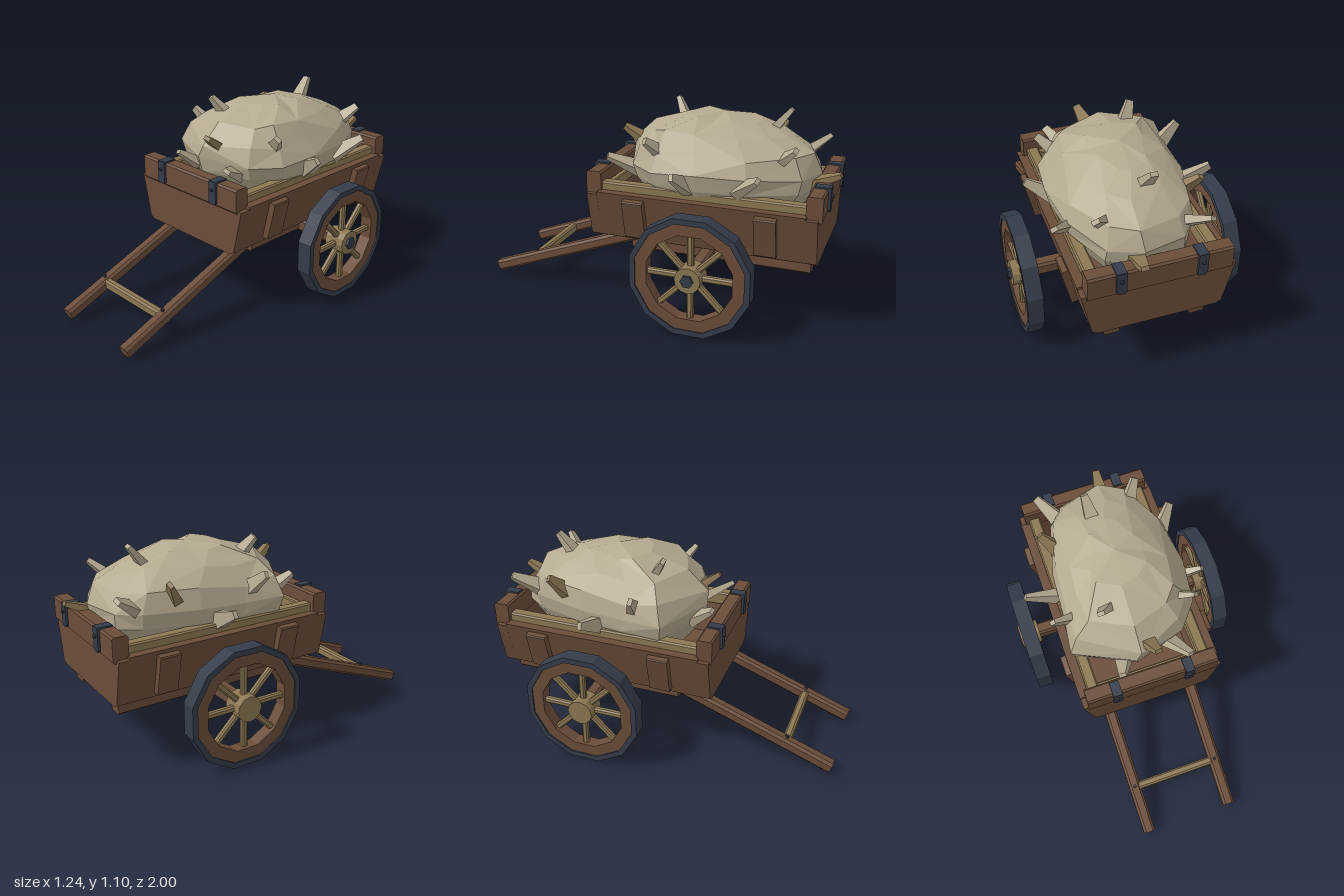
import * as THREE from 'three';

const mat = (name, color, extra = {}) => {
  const m = new THREE.MeshStandardMaterial({ color, flatShading: true, ...extra });
  m.name = name;
  return m;
};

export function createModel() {
  const wood = mat('brown wood', 0x6b4d3a);
  const paleWood = mat('pale wood', 0x8c7853);
  const iron = mat('dark iron', 0x343c4a);
  const hide = mat('pale hide', 0xb5aa91);

  const model = new THREE.Group();
  const cart = new THREE.Group();
  cart.name = 'cart';
  cart.position.x = -0.007;
  model.add(cart);

  const add = (name, geo, material, pos = [0, 0, 0], parent = cart) => {
    const mesh = new THREE.Mesh(geo, material);
    mesh.name = name;
    mesh.position.set(...pos);
    parent.add(mesh);
    return mesh;
  };
  const shapeOf = pts => new THREE.Shape(pts.map(p => new THREE.Vector2(...p)));
  const prism = (shape, depth) => new THREE.ExtrudeGeometry(shape, { depth, bevelEnabled: false });

  // Beam along z with chamfered long edges, centred on its origin
  const beam = (w, h, len, c = 0.01) => {
    const a = w / 2, b = h / 2;
    return prism(shapeOf([[-a + c, -b], [a - c, -b], [a, -b + c], [a, b - c],
      [a - c, b], [-a + c, b], [-a, b - c], [-a, -b + c]]), len).translate(0, 0, -len / 2);
  };
  const crossBeam = (...args) => beam(...args).rotateY(Math.PI / 2);

  // Tub: end boards, leaning side walls, floor
  const endShape = shapeOf([[-0.315, 0.375], [0.315, 0.375], [0.345, 0.39],
    [0.4, 0.64], [-0.4, 0.64], [-0.345, 0.39]]);
  add('frontBoard', prism(endShape, 0.06), wood, [0, 0, 0.26]);
  add('backBoard', prism(endShape, 0.06), wood, [0, 0, -0.93]);
  add('floor', new THREE.BoxGeometry(0.63, 0.045, 1.13), wood, [0, 0.3975, -0.305]);
  const wall = [[0.315, 0.375], [0.345, 0.39], [0.403, 0.655], [0.345, 0.655], [0.295, 0.42]];
  for (const s of [1, -1]) {
    const pts = wall.map(([x, y]) => [s * x, y]);
    add('sideWall', prism(shapeOf(pts), 1.13), wood, [0, 0, -0.87]);
    add('sideRail', beam(0.065, 0.08, 1.11, 0.008), paleWood, [s * 0.32, 0.66, -0.305]);
    // Slanted battens on the walls
    for (const z of [0.045, -0.67]) {
      const batten = add('batten', beam(0.04, 0.225, 0.115, 0.006), wood, [s * 0.392, 0.523, z]);
      batten.rotation.z = -s * 0.225;
    }
    // Under-frame beams
    add('underBeam', beam(0.085, 0.075, 1.0, 0.008), wood, [s * 0.23, 0.338, -0.39]);
  }
  add('frontRail', crossBeam(0.035, 0.06, 0.6, 0.006), paleWood, [0, 0.655, 0.23]);

  // Heavy end caps with iron straps
  for (const [z, s] of [[0.288, 1], [-0.905, -1]]) {
    add('endCap', crossBeam(0.085, 0.135, 0.746, 0.01), wood, [0, 0.692, z]);
    for (const x of [-0.207, 0.207]) {
      const strap = new THREE.Group();
      strap.name = 'strap';
      strap.position.set(x, 0, z);
      strap.scale.z = 1;
      cart.add(strap);
      const plate = shapeOf([[-0.026, 0.648], [-0.018, 0.638], [0.018, 0.638], [0.026, 0.648],
        [0.026, 0.767], [-0.026, 0.767]]);
      add('strapPlate', prism(plate, 0.018), iron, [0, 0, s > 0 ? 0.038 : -0.056], strap);
      add('strapTop', new THREE.BoxGeometry(0.052, 0.016, 0.08), iron, [0, 0.76, s * 0.012], strap);
      add('strapBolt', new THREE.CylinderGeometry(0.01, 0.01, 0.012, 6).rotateX(Math.PI / 2),
        iron, [0, 0.72, s * 0.06], strap);
    }
  }

  // Sloping pull handles and their crossbar
  const tilt = 0.358;
  for (const s of [1, -1]) {
    const handle = add('handle', beam(0.067, 0.066, 0.96, 0.014), wood, [s * 0.25, 0.213, 0.54]);
    handle.rotation.x = tilt;
    add('handlePeg', new THREE.CylinderGeometry(0.009, 0.009, 0.02, 6), iron, [s * 0.25, 0.179, 0.735]);
  }
  add('handleCrossbar', crossBeam(0.045, 0.055, 0.46, 0.01), paleWood, [0, 0.142, 0.733]);

  // Axle and twelve-sided spoked wheels
  const axleY = 0.322, axleZ = -0.33;
  add('axle', crossBeam(0.075, 0.075, 1.04, 0.012), wood, [0, axleY + 0.005, axleZ]);
  const polygon = r => Array.from({ length: 12 }, (_, i) => {
    const a = (i + 0.5) * Math.PI / 6;
    return new THREE.Vector2(Math.cos(a) * r, Math.sin(a) * r);
  });
  const ring = (outer, inner, depth) => {
    const shape = new THREE.Shape(polygon(outer));
    shape.holes.push(new THREE.Path(polygon(inner).reverse()));
    return prism(shape, depth).translate(0, 0, -depth / 2).rotateY(Math.PI / 2);
  };
  for (const s of [1, -1]) {
    const wheel = new THREE.Group();
    wheel.name = 'wheel';
    wheel.position.set(s * 0.556, axleY, axleZ);
    cart.add(wheel);
    add('tire', ring(0.333, 0.302, 0.086), iron, [0, 0, 0], wheel);
    add('rim', ring(0.304, 0.238, 0.072), wood, [0, 0, 0], wheel);
    add('hub', new THREE.CylinderGeometry(0.07, 0.07, 0.118, 12).rotateZ(Math.PI / 2), paleWood, [0, 0, 0], wheel);
    for (let i = 0; i < 8; i++) {
      const spoke = add('spoke', beam(0.034, 0.034, 0.2, 0.008).translate(0, 0, 0.15), paleWood, [0, 0, 0], wheel);
      spoke.rotation.x = i * Math.PI / 4;
    }
  }
  add('axleCap', new THREE.CylinderGeometry(0.035, 0.035, 0.03, 6).rotateZ(Math.PI / 2), iron, [0.614, axleY, axleZ]);

  // Faceted load: one outline scaled through stacked levels
  let seed = 7;
  const jitter = a => {
    seed = (seed * 16807) % 2147483647;
    return (seed / 2147483647 - 0.5) * 2 * a;
  };
  const outline = [[-0.18, -0.86], [-0.26, -0.74], [-0.34, -0.45], [-0.37, -0.19], [-0.38, 0.05], [-0.05, 0.21],
    [0.24, 0.11], [0.36, -0.05], [0.38, -0.29], [0.35, -0.56], [0.24, -0.82], [0.07, -0.9]];
  // Each level: height, scale, z shift, jitter
  const levels = [[0.52, 0.7, 0, 0], [0.71, 0.95, 0, 0], [0.79, 0.98, 0.01, 0.012], [0.88, 0.9, 0.02, 0.02],
    [0.97, 0.69, 0.04, 0.02], [1.04, 0.36, 0, 0.015]];
  const verts = [], index = [], n = outline.length;
  for (const [y, k, dz, j] of levels) {
    for (const [x, z] of outline) {
      verts.push(x * k + jitter(j), y + jitter(j), (z + 0.33) * k - 0.33 + dz + jitter(j));
    }
  }
  const bottom = verts.length / 3;
  verts.push(0, 0.5, -0.33, 0, 1.065, -0.34);
  const last = (levels.length - 1) * n;
  for (let i = 0; i < n; i++) {
    const k = (i + 1) % n;
    for (let l = 0; l < levels.length - 1; l++) {
      const a = l * n + i, b = l * n + k, c = a + n, d = b + n;
      if ((i + l) % 2) index.push(a, b, c, b, d, c);
      else index.push(a, b, d, a, d, c);
    }
    index.push(bottom, k, i, bottom + 1, last + i, last + k);
  }
  const loadGeo = new THREE.BufferGeometry();
  loadGeo.setAttribute('position', new THREE.Float32BufferAttribute(verts, 3));
  loadGeo.setIndex(index);
  loadGeo.computeVertexNormals();
  add('load', loadGeo, hide, [0, 0, 0], model);

  // Blunt tapered spikes from base to tip
  const spike = (material, base, tip) => {
    const from = new THREE.Vector3(...base), to = new THREE.Vector3(...tip);
    const dir = to.clone().sub(from).normalize();
    from.addScaledVector(dir, -0.06);
    const len = from.distanceTo(to);
    const geo = new THREE.CylinderGeometry(0.028, 0.066, len, 4).rotateY(Math.PI / 4);
    geo.scale(1, 1, 0.6).translate(0, len / 2, 0);
    const mesh = add('spike', geo, material, from.toArray(), model);
    mesh.quaternion.setFromUnitVectors(new THREE.Vector3(0, 1, 0), dir);
  };
  [
    [[-0.04, 0.99, -0.61], [-0.05, 1.09, -0.69]],
    [[-0.13, 0.98, -0.07], [-0.18, 1.075, -0.01]],
    [[-0.32, 0.85, -0.13], [-0.425, 0.94, -0.1]],
    [[-0.38, 0.735, -0.34], [-0.52, 0.8, -0.35]],
    [[0.25, 0.86, -0.07], [0.345, 0.95, 0]],
    [[0.35, 0.76, -0.54], [0.43, 0.83, -0.63]],
    [[0.2, 0.87, -0.69], [0.27, 0.955, -0.78]],
    [[0.37, 0.75, -0.22], [0.465, 0.81, -0.19]],
    [[-0.22, 0.83, -0.77], [-0.29, 0.9, -0.87]],
    [[-0.13, 0.76, 0.18], [-0.16, 0.82, 0.26]],
    [[0.16, 0.745, 0.14], [0.23, 0.81, 0.265]],
  ].forEach(p => spike(hide, ...p));
  [
    [[0.025, 0.88, 0.15], [0.05, 0.94, 0.235]],
    [[-0.28, 0.87, -0.56], [-0.34, 0.95, -0.61]],
    [[0.09, 0.755, -0.88], [0.1, 0.8, -0.99]],
  ].forEach(p => spike(paleWood, ...p));

  return model;
}
